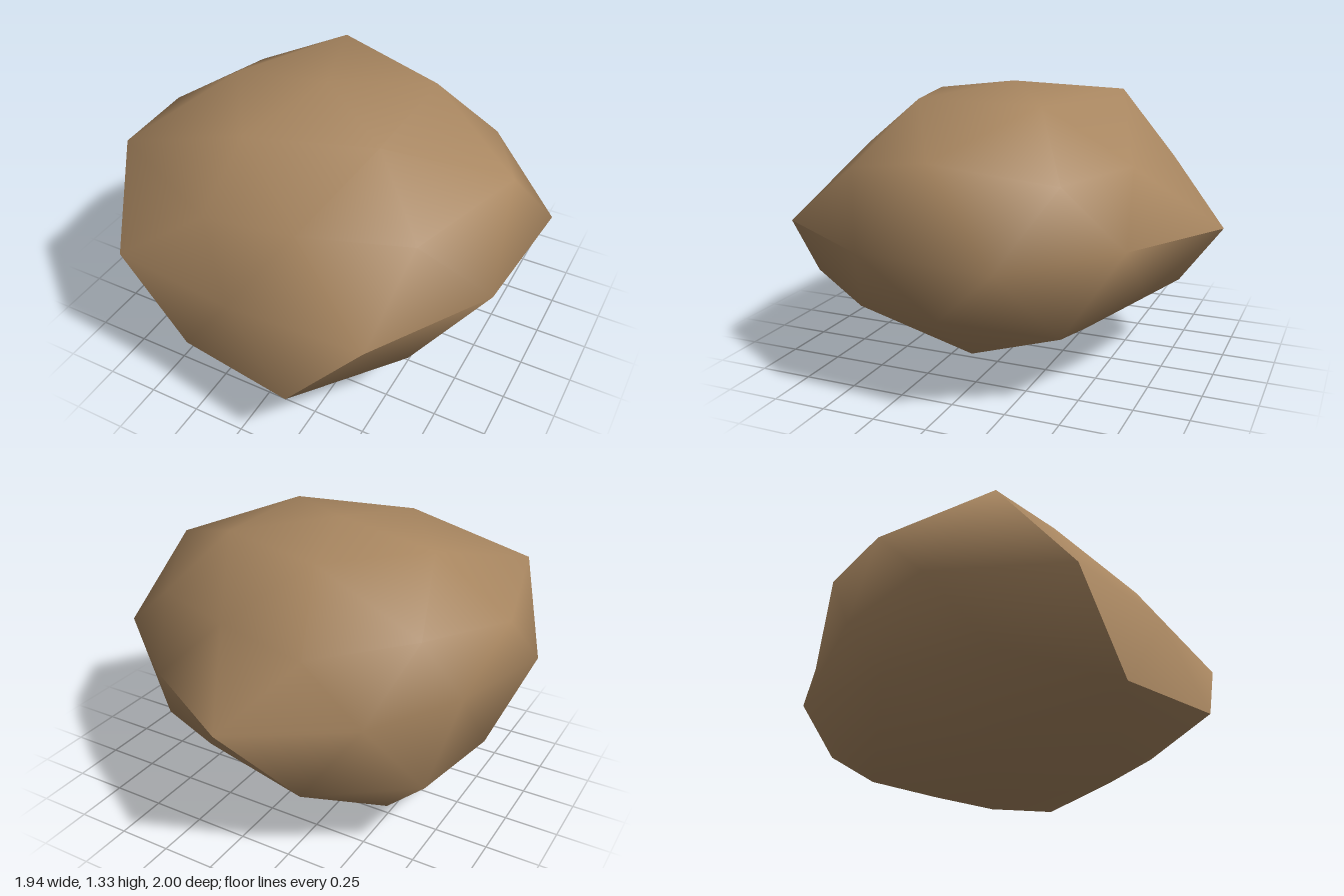
import * as THREE from 'three';

// Boulder: a once-subdivided icosahedron whose points are pushed in or out along their radius.
export function createModel() {
  const centre = new THREE.Vector3(-0.06, 0.7, 0.04);
  const squash = 0.7;
  const points = [];

  // Adds one ring of points at a latitude; angles run from +x towards +z. Returns an index lookup.
  function ring(latitude, startAngle, radii) {
    const first = points.length;
    const n = radii.length;
    const lat = THREE.MathUtils.degToRad(latitude);
    radii.forEach((r, i) => {
      const a = THREE.MathUtils.degToRad(startAngle + (360 / n) * i);
      points.push(new THREE.Vector3(
        r * Math.cos(lat) * Math.cos(a),
        r * Math.sin(lat) * squash,
        r * Math.cos(lat) * Math.sin(a)
      ).add(centre));
    });
    return (i) => first + (i % n);
  }

  // Rings from crown to base
  const top = ring(90, 0, [0.9])(0);
  const crown = ring(58.28, 36, [0.97, 0.94, 0.925, 1.0, 0.97]);
  const upper = ring(26.57, 36, [0.95, 0.83, 0.962, 0.872, 0.92]);
  const upperMid = ring(31.72, 72, [0.853, 1.075, 0.945, 0.82, 1.075]);
  const girth = ring(0, 54, [1.08, 0.9, 1.04, 0.957, 0.8, 0.86, 1.04, 0.905, 1.08, 1.025]);
  const lower = ring(-26.57, 72, [1.13, 0.88, 0.995, 0.88, 0.96]);
  const lowerMid = ring(-31.72, 108, [1.06, 0.925, 0.976, 1.0, 0.98]);
  const foot = ring(-58.28, 72, [1.05, 1.02, 1.06, 0.88, 0.98]);
  const bottom = ring(-90, 0, [1.0])(0);

  // One large triangle split in four through its edge midpoints
  const faces = [];
  const split = (a, b, c, ab, bc, ca) =>
    faces.push([a, ab, ca], [ab, b, bc], [ca, bc, c], [ab, bc, ca]);

  for (let k = 0; k < 5; k++) {
    const e = 2 * k;
    split(top, upper(k + 1), upper(k), crown(k + 1), upperMid(k), crown(k));
    split(upper(k), upper(k + 1), lower(k), upperMid(k), girth(e + 1), girth(e));
    split(lower(k), upper(k + 1), lower(k + 1), girth(e + 1), girth(e + 2), lowerMid(k));
    split(bottom, lower(k), lower(k + 1), foot(k), lowerMid(k), foot(k + 1));
  }

  // Sharp ridge: faces that touch the outer points get their own copies of the ridge corners,
  // so the shading breaks along the ridge and fades out at its two ends.
  function ridge(corners, outer) {
    const copies = new Map(corners.map((c) => [c, points.push(points[c].clone()) - 1]));
    faces.forEach((face, i) => {
      if (face.some((p) => outer.includes(p))) faces[i] = face.map((p) => copies.get(p) ?? p);
    });
  }

  // Ridge round the front facet, then the one at the back point
  ridge(
    [girth(2), lowerMid(0), lower(0), girth(0)],
    [girth(3), lower(1), foot(0), foot(1), lowerMid(4)]
  );
  ridge([girth(6)], [lower(3)]);

  const geometry = new THREE.BufferGeometry().setFromPoints(points);
  geometry.setIndex(faces.flat());
  geometry.computeVertexNormals();

  const stone = new THREE.MeshStandardMaterial({ color: 0xa88660 });
  stone.name = 'brownStone';
  const rock = new THREE.Mesh(geometry, stone);
  rock.name = 'rock';

  const group = new THREE.Group();
  group.name = 'boulder';
  group.add(rock);
  return group;
}
